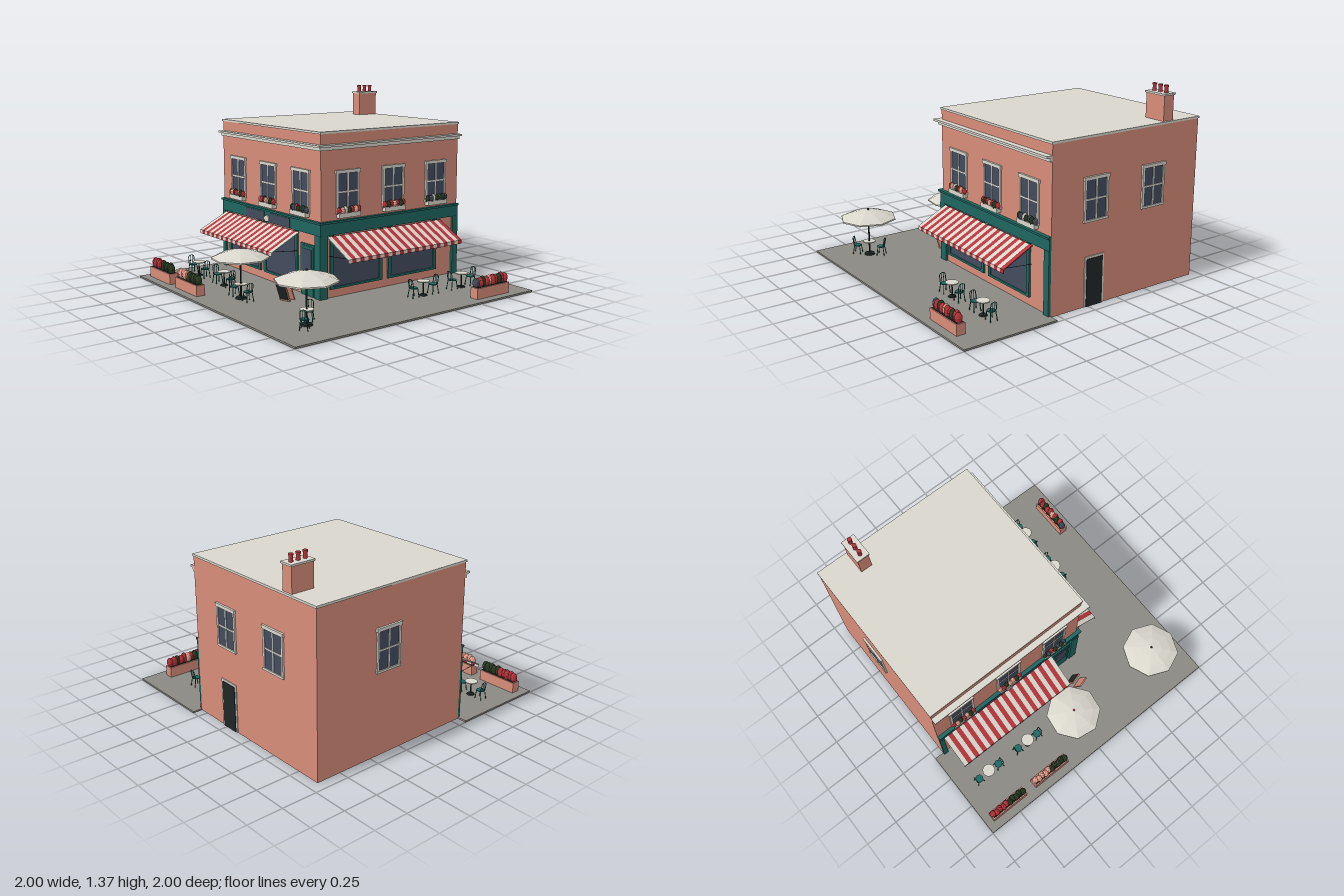
import * as THREE from 'three';

const mat = (name, color) => Object.assign(new THREE.MeshStandardMaterial({ color }), { name });
const M = {
  wall: mat('salmon wall', 0xd68c7a), stone: mat('pale stone', 0xd9d6cc), pave: mat('paving grey', 0x8b8983),
  teal: mat('teal paint', 0x1f6660), glass: mat('window glass', 0x434c5e), red: mat('awning red', 0xb5343a),
  pink: mat('pink blossom', 0xe8a08e), leaf: mat('dark leaf', 0x2a3a22), dark: mat('charcoal', 0x1f2726),
  roof: mat('roof stone', 0xc8c5bb),
};

function add(parent, name, geo, material, x = 0, y = 0, z = 0) {
  const m = new THREE.Mesh(geo, material);
  m.name = name;
  m.position.set(x, y, z);
  parent.add(m);
  return m;
}
function group(parent, name, x = 0, y = 0, z = 0, ry = 0) {
  const g = new THREE.Group();
  g.name = name;
  g.position.set(x, y, z);
  g.rotation.y = ry;
  parent.add(g);
  return g;
}
// box given by its bounds
const box = (p, name, m, x0, x1, y0, y1, z0, z1) =>
  add(p, name, new THREE.BoxGeometry(x1 - x0, y1 - y0, z1 - z0), m, (x0 + x1) / 2, (y0 + y1) / 2, (z0 + z1) / 2);
const cyl = (p, name, m, r0, r1, h, x, y, z, n = 12) =>
  add(p, name, new THREE.CylinderGeometry(r0, r1, h, n), m, x, y + h / 2, z);
// thin round bar between two points
function rod(p, name, m, a, b, r = 0.003) {
  const A = new THREE.Vector3(...a), B = new THREE.Vector3(...b);
  const c = add(p, name, new THREE.CylinderGeometry(r, r, A.distanceTo(B), 6), m);
  c.position.copy(A).add(B).multiplyScalar(0.5);
  c.quaternion.setFromUnitVectors(new THREE.Vector3(0, 1, 0), B.sub(A).normalize());
}

const bushGeo = new THREE.IcosahedronGeometry(1, 1);
bushGeo.computeVertexNormals();
function plants(p, colours, x0, x1, y, z, r, h) {
  colours.forEach((c, i) => {
    const x = x0 + (x1 - x0) * (i + 0.5) / colours.length;
    const b = add(p, 'plant', bushGeo, c, x, y + h * 0.45, z + (i % 2 ? 0.004 : -0.004));
    b.scale.set(r, h * (0.52 + 0.05 * (i % 3)), r);
    b.rotation.y = i * 1.3;
  });
}

// Facade pieces: x along the wall, y up, z outward from the wall
function sashWindow(p, x, flowers) {
  const g = group(p, 'sashWindow', x);
  box(g, 'glass', M.glass, -0.085, 0.085, 0.59, 0.86, 0, 0.006);
  for (const s of [-1, 1]) box(g, 'sideFrame', M.stone, s * 0.09 - 0.008, s * 0.09 + 0.008, 0.58, 0.86, 0, 0.012);
  box(g, 'head', M.stone, -0.104, 0.104, 0.85, 0.873, 0, 0.015);
  box(g, 'sill', M.stone, -0.1, 0.1, 0.577, 0.592, 0, 0.014);
  box(g, 'meetingRail', M.stone, -0.084, 0.084, 0.72, 0.73, 0, 0.01);
  box(g, 'glazingBar', M.stone, -0.005, 0.005, 0.59, 0.855, 0, 0.01);
  if (!flowers) return;
  box(g, 'windowBox', M.stone, -0.092, 0.092, 0.553, 0.585, 0, 0.036);
  plants(g, flowers, -0.098, 0.098, 0.58, 0.021, 0.018, 0.047);
}
function shopWindow(p, x0, x1) {
  const g = group(p, 'shopWindow');
  box(g, 'glass', M.glass, x0, x1, 0.08, 0.43, 0, 0.006);
  for (const x of [x0, x1]) box(g, 'jamb', M.teal, x - 0.014, x + 0.014, 0.07, 0.44, 0, 0.014);
  box(g, 'bottomRail', M.teal, x0, x1, 0.07, 0.086, 0, 0.014);
}
function awning(p, x0, x1, n) {
  const g = group(p, 'awning');
  const s = new THREE.Shape([[0.012, 0.435], [0.237, 0.322], [0.237, 0.295], [0.232, 0.295], [0.232, 0.317], [0.012, 0.428]]
    .map(a => new THREE.Vector2(...a)));
  const w = (x1 - x0) / n;
  const geo = new THREE.ExtrudeGeometry(s, { depth: w, bevelEnabled: false });
  geo.rotateY(-Math.PI / 2);
  for (let i = 0; i < n; i++) add(g, 'stripe', geo, i % 2 ? M.red : M.stone, x0 + w * (i + 1));
  for (const x of [x0 + 0.02, x1 - 0.02]) rod(g, 'awningArm', M.dark, [x, 0.3, 0.005], [x, 0.322, 0.23], 0.002);
}
function fascia(p, x0, x1) {
  box(p, 'fascia', M.teal, x0, x1, 0.443, 0.527, 0, 0.015);
  box(p, 'fasciaCornice', M.teal, x0, x1 + 0.01, 0.523, 0.537, 0, 0.027);
}
function cornice(p, x0, x1) {
  box(p, 'corniceLower', M.stone, x0, x1 + 0.018, 1.012, 1.036, 0, 0.018);
  box(p, 'corniceUpper', M.stone, x0, x1 + 0.043, 1.036, 1.05, 0, 0.043);
}

function chair(p, x, z, ry) { // backrest at local -z
  const g = group(p, 'chair', x, 0.012, z, ry);
  cyl(g, 'seat', M.teal, 0.03, 0.03, 0.006, 0, 0.062, 0, 8);
  for (const s of [-1, 1]) {
    rod(g, 'frontLeg', M.teal, [s * 0.026, 0, 0.026], [s * 0.02, 0.064, 0.018]);
    rod(g, 'backLeg', M.teal, [s * 0.026, 0, -0.03], [s * 0.02, 0.065, -0.02]);
    rod(g, 'backPost', M.teal, [s * 0.023, 0.065, -0.02], [s * 0.022, 0.115, -0.03]);
    rod(g, 'backSlat', M.teal, [s * 0.008, 0.065, -0.025], [s * 0.008, 0.127, -0.031], 0.002);
  }
  const arc = add(g, 'backTop', new THREE.TorusGeometry(0.022, 0.003, 5, 8, Math.PI), M.teal, 0, 0.114, -0.03);
  arc.scale.y = 0.75;
}
function tableSet(p, x, z, ry) {
  const g = group(p, 'tableSet', x, 0, z, ry);
  cyl(g, 'tableTop', M.stone, 0.045, 0.045, 0.007, 0, 0.108, 0, 16);
  cyl(g, 'tableStem', M.dark, 0.005, 0.005, 0.096, 0, 0.012, 0, 8);
  cyl(g, 'tableFoot', M.dark, 0.024, 0.028, 0.008, 0, 0.012, 0, 12);
  chair(g, -0.088, 0, Math.PI / 2);
  chair(g, 0.088, 0, -Math.PI / 2);
}
function parasol(p, x, z, r, ry, tip) {
  const g = group(p, 'parasol', x, 0, z, ry);
  const prof = [[r, 0.288], [r, 0.298], [r * 0.72, 0.322], [r * 0.38, 0.342], [0.001, 0.355]].map(a => new THREE.Vector2(...a));
  const geo = new THREE.LatheGeometry(prof, 8).toNonIndexed();
  geo.computeVertexNormals();
  const canopyMat = M.canopy;
  add(g, 'canopy', geo, canopyMat);
  cyl(g, 'pole', M.dark, 0.006, 0.006, 0.345, 0, 0.012, 0, 8);
  cyl(g, 'poleBase', M.dark, 0.034, 0.038, 0.012, 0, 0.012, 0, 12);
  add(g, 'finial', new THREE.SphereGeometry(0.008, 8, 6), tip, 0, 0.36, 0);
}
// open canopies show from below too
M.canopy = mat('parasol canvas', 0xd9d6cc);
M.canopy.side = THREE.DoubleSide;
M.roof = M.stone; // roof shares the stone colour

function planter(p, x, z, ry, colours) {
  const g = group(p, 'planter', x, 0, z, ry);
  box(g, 'trough', M.wall, -0.152, 0.152, 0.012, 0.087, -0.032, 0.032);
  box(g, 'soil', M.dark, -0.143, 0.143, 0.087, 0.09, -0.024, 0.024);
  plants(g, colours, -0.147, 0.147, 0.085, 0, 0.025, 0.07);
}
function signBoard(p, x, z, face) { // face: side carrying the slate
  const g = group(p, 'signBoard', x, 0.014, z, 0.3);
  const b = group(g, 'leaningPanel');
  b.rotation.x = 0.38;
  box(b, 'boardFrame', M.wall, -0.042, 0.042, 0, 0.13, -0.005, 0.005);
  box(b, 'slate', M.dark, -0.035, 0.035, 0.012, 0.122, face * 0.006 - 0.002, face * 0.006 + 0.002);
}

export function createModel() {
  const root = new THREE.Group();
  root.name = 'cornerCafe';
  const { red: R, pink: P, leaf: L, glass: B, stone: S } = M;

  // Paving, wrapping two sides and running under the building
  const plan = [[-1, -1], [1, -1], [1, 1], [0.31, 1], [0.31, 0.925], [-0.925, 0.925], [-0.925, -0.31], [-1, -0.31]];
  const paving = new THREE.ExtrudeGeometry(new THREE.Shape(plan.map(a => new THREE.Vector2(...a))), { depth: 0.012, bevelEnabled: false });
  paving.rotateX(-Math.PI / 2);
  add(root, 'paving', paving, M.pave);

  // Main block, roof and chimney
  box(root, 'walls', M.wall, -0.93, 0.31, 0.002, 1.122, -0.93, 0.31);
  box(root, 'roofCap', M.roof, -0.935, 0.316, 1.12, 1.135, -0.935, 0.316);
  box(root, 'chimney', M.wall, -0.7, -0.615, 1.13, 1.305, -0.92, -0.755);
  box(root, 'chimneyCap', M.stone, -0.707, -0.608, 1.303, 1.316, -0.928, -0.748);
  for (const z of [-0.89, -0.837, -0.784]) {
    cyl(root, 'chimneyPot', M.red, 0.012, 0.014, 0.05, -0.658, 1.315, z);
    cyl(root, 'potRim', M.red, 0.016, 0.016, 0.012, -0.658, 1.354, z);
  }

  // Front facade
  const front = group(root, 'frontFacade', 0, 0, 0.31);
  sashWindow(front, -0.71, [R, P, L, R, P, L, R]);
  sashWindow(front, -0.31, [P, R, L, P, P, L, R]);
  sashWindow(front, 0.09, [L, B, R, L, B, L, B]);
  cornice(front, -0.93, 0.31);
  fascia(front, -0.93, 0.325);
  box(front, 'leftPilaster', M.teal, -0.93, -0.893, 0.012, 0.445, 0, 0.018);
  box(front, 'cornerPilaster', M.teal, 0.262, 0.326, 0.012, 0.445, 0, 0.018);
  shopWindow(front, -0.83, -0.425);
  shopWindow(front, -0.355, 0.04);
  awning(front, -0.89, 0.075, 29);
  box(front, 'signPlateLeft', M.glass, -0.595, -0.35, 0.447, 0.513, 0.013, 0.019);
  box(front, 'signPlateRight', M.glass, -0.275, -0.025, 0.447, 0.513, 0.013, 0.019);
  const oval = cyl(front, 'signOval', M.stone, 0.03, 0.03, 0.01, -0.313, 0.465, 0.019, 16);
  oval.rotation.x = Math.PI / 2;
  oval.scale.z = 0.75;
  const door = group(front, 'shopDoor');
  box(door, 'doorFrame', M.teal, 0.09, 0.255, 0.012, 0.368, 0, 0.01);
  box(door, 'doorLeaf', M.teal, 0.105, 0.24, 0.012, 0.355, 0, 0.014);
  box(door, 'doorGlass', M.glass, 0.122, 0.223, 0.155, 0.335, 0.012, 0.017);
  add(door, 'doorKnob', new THREE.SphereGeometry(0.006, 8, 6), M.stone, 0.115, 0.15, 0.018);

  // Right facade (local x runs towards the back)
  const right = group(root, 'rightFacade', 0.31, 0, 0, Math.PI / 2);
  sashWindow(right, -0.09, [R, P, S, L, R, P, R]);
  sashWindow(right, 0.31, [R, L, R, P, R, L, R]);
  sashWindow(right, 0.71, [L, B, S, L, B, L, B]);
  box(right, 'corniceLower', M.stone, -0.328, 0.93, 1.012, 1.036, 0, 0.018);
  box(right, 'corniceUpper', M.stone, -0.353, 0.93, 1.036, 1.05, 0, 0.043);
  box(right, 'fascia', M.teal, -0.325, 0.93, 0.443, 0.527, 0, 0.015);
  box(right, 'fasciaCornice', M.teal, -0.337, 0.93, 0.523, 0.537, 0, 0.027);
  box(right, 'cornerPilaster', M.teal, -0.326, -0.262, 0.012, 0.445, 0, 0.016);
  box(right, 'rearPilaster', M.teal, 0.88, 0.93, 0.012, 0.445, 0, 0.018);
  shopWindow(right, -0.225, 0.2);
  shopWindow(right, 0.28, 0.71);
  awning(right, -0.265, 0.757, 30);

  // Back and left walls
  const back = group(root, 'backFacade', 0, 0, -0.93, Math.PI);
  sashWindow(back, 0.04);
  sashWindow(back, 0.53);
  box(back, 'backDoorFrame', M.stone, -0.04, 0.12, 0.004, 0.345, 0, 0.006);
  box(back, 'backDoor', M.dark, -0.026, 0.106, 0.004, 0.33, 0, 0.01);
  sashWindow(group(root, 'leftFacade', -0.93, 0, 0, -Math.PI / 2), -0.365);

  // Terrace furniture
  tableSet(root, -0.755, 0.64, 0);
  tableSet(root, -0.395, 0.64, 0);
  tableSet(root, -0.037, 0.72, 0);
  tableSet(root, 0.708, 0.71, -Math.PI / 4);
  tableSet(root, 0.64, -0.67, Math.PI / 2);
  tableSet(root, 0.64, -0.31, Math.PI / 2);
  parasol(root, -0.037, 0.72, 0.196, 0.25, M.red);
  parasol(root, 0.708, 0.71, 0.203, 0, M.dark);

  planter(root, -0.79, 0.908, 0, [R, R, R, R, R, L, L, L, L, L]);
  planter(root, -0.403, 0.908, 0, [P, P, P, P, P, L, L, L, L, L]);
  planter(root, 0.908, -0.675, Math.PI / 2, [B, R, L, R, P, R, R, L, R, R]);
  signBoard(root, 0.19, 0.515, 1);
  signBoard(root, 0.165, 0.462, -1);
  return root;
}
